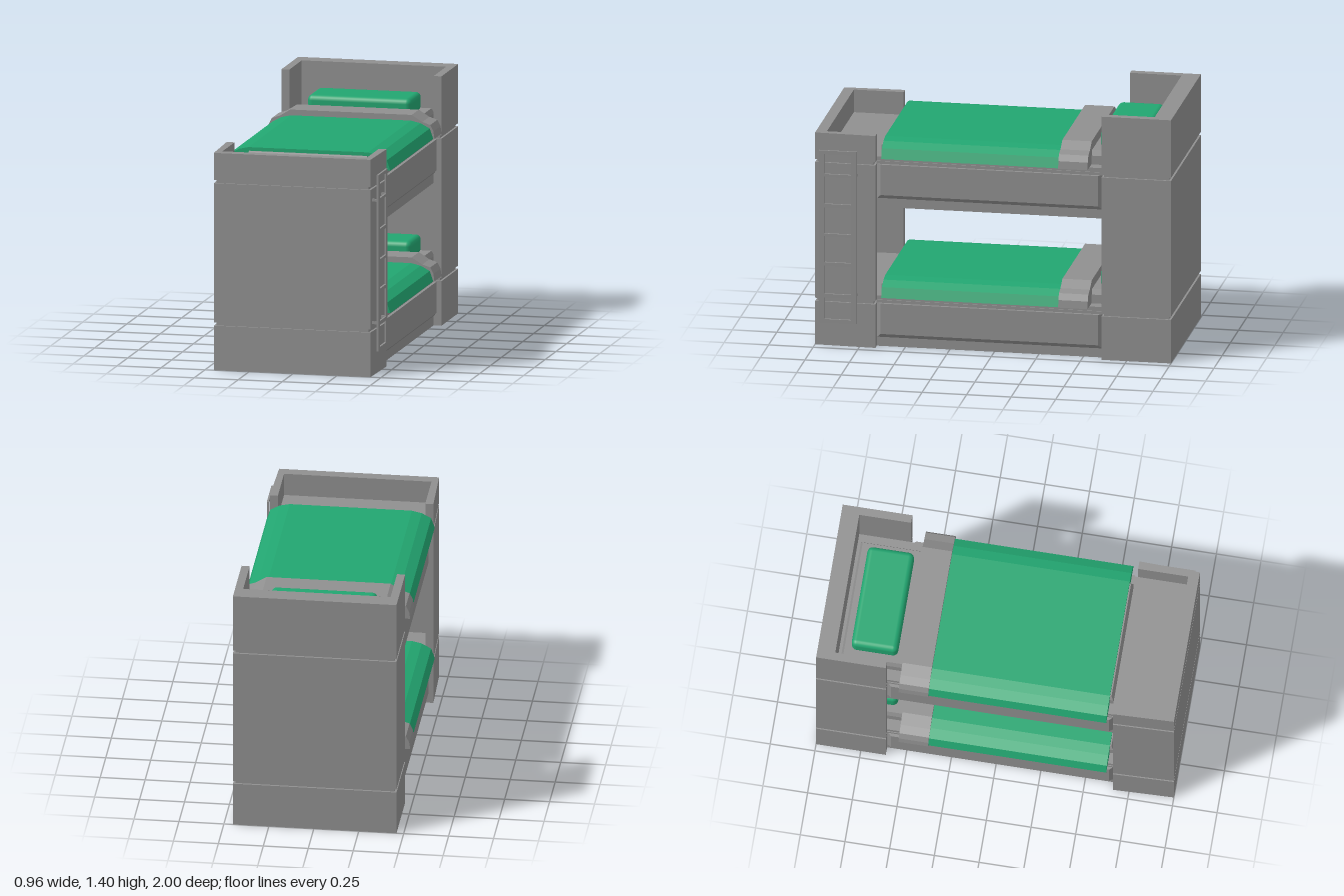
import * as THREE from 'three';
import { RoundedBoxGeometry } from 'three/addons/geometries/RoundedBoxGeometry.js';

const grey = new THREE.MeshStandardMaterial({ color: 0x8f8f8f });
grey.name = 'frame grey';
const green = new THREE.MeshStandardMaterial({ color: 0x22a570 });
green.name = 'bedding green';

const CX = -0.005; // the frame sits slightly off centre to make room for the ladder

function add(parent, name, geometry, material = grey) {
  const mesh = new THREE.Mesh(geometry, material);
  mesh.name = name;
  parent.add(mesh);
  return mesh;
}

// Box given by its lower and upper corners
function box(x0, x1, y0, y1, z0, z1) {
  return new THREE.BoxGeometry(x1 - x0, y1 - y0, z1 - z0)
    .translate((x0 + x1) / 2, (y0 + y1) / 2, (z0 + z1) / 2);
}

// Upright prism over a floor plan of [x, z] points
function prism(plan, y0, y1) {
  const shape = new THREE.Shape(plan.map(([x, z]) => new THREE.Vector2(x, -z)));
  return new THREE.ExtrudeGeometry(shape, { depth: y1 - y0, bevelEnabled: false })
    .rotateX(-Math.PI / 2).translate(0, y0, 0);
}

// Symmetric cross-section of [half width, y] points swept along z
function sweep(profile, z0, z1) {
  const right = profile.map(([x, y]) => new THREE.Vector2(CX + x, y));
  const left = profile.map(([x, y]) => new THREE.Vector2(CX - x, y)).reverse();
  const shape = new THREE.Shape([...right, ...left]);
  return new THREE.ExtrudeGeometry(shape, { depth: z1 - z0, bevelEnabled: false })
    .translate(0, 0, z0);
}

// Plan of an end block: w0 is its half width at the bed, w1 at the far end
function blockPlan(zNear, zFar, w0, w1, inset = 0) {
  const s = Math.sign(zFar) * inset;
  return [
    [CX - w0 + inset, zNear + s], [CX + w0 - inset, zNear + s],
    [CX + w1 - inset, zFar - s], [CX - w1 + inset, zFar - s],
  ];
}

// U-shaped plan of the walls around one end
function wallPlan(zNear, zFar, w0, w1) {
  const zIn = zFar - Math.sign(zFar) * (zFar > 0 ? 0.06 : 0.1);
  const t = 0.41;
  return [
    [CX + t, zNear], [CX + w0, zNear], [CX + w1, zFar], [CX - w1, zFar],
    [CX - w0, zNear], [CX - t, zNear], [CX - t, zIn], [CX + t, zIn],
  ];
}

// Proud side panel, bevelled at its ends and lower edge
function sidePanel(side) {
  const g = box(0.408, 0.432, 0.05, 0.25, -0.61, 0.66);
  const p = g.attributes.position;
  for (let i = 0; i < p.count; i++) {
    if (p.getX(i) < 0.42) continue;
    p.setZ(i, p.getZ(i) > 0 ? 0.635 : -0.585);
    if (p.getY(i) < 0.1) p.setY(i, 0.075);
  }
  if (side < 0) g.rotateY(Math.PI).translate(0, 0, 0.05);
  g.translate(CX, 0, 0);
  g.computeVertexNormals();
  return g;
}

function bunk(name, footTop, headTop) {
  const b = new THREE.Group();
  b.name = name;

  // Base and side panels
  add(b, 'bedBase', box(CX - 0.41, CX + 0.41, 0, 0.25, -0.61, 0.66));
  for (const side of [1, -1]) add(b, 'sidePanel', sidePanel(side));
  add(b, 'bedGroove', box(CX - 0.415, CX + 0.415, 0.25, 0.266, -0.61, 0.66));
  add(b, 'bedDeck', box(CX - 0.41, CX + 0.41, 0.266, 0.29, -0.9, 0.94));

  // Foot and head ends: block, groove and surrounding walls
  const ends = [['foot', 0.66, 1, 0.455, 0.445, footTop], ['head', -0.61, -1, 0.455, 0.455, headTop]];
  for (const [end, zn, zf, w0, w1, top] of ends) {
    add(b, end + 'Block', prism(blockPlan(zn, zf, w0, w1), 0, 0.25));
    add(b, end + 'Groove', prism(blockPlan(zn, zf, w0, w1, 0.012), 0.25, 0.268));
    add(b, end + 'Walls', prism(wallPlan(zn, zf, w0, w1), 0.268, top));
  }

  // Mattress with a bevelled upper edge
  const mattress = box(CX - 0.347, CX + 0.347, 0.29, 0.34, -0.88, 0.645);
  add(b, 'mattress', mattress);
  const topping = box(CX - 0.347, CX + 0.347, 0.34, 0.37, -0.88, 0.645);
  const p = topping.attributes.position;
  for (let i = 0; i < p.count; i++) {
    if (p.getY(i) < 0.36) continue;
    p.setX(i, p.getX(i) - Math.sign(p.getX(i)) * 0.012);
    p.setZ(i, p.getZ(i) - Math.sign(p.getZ(i)) * 0.012);
  }
  topping.computeVertexNormals();
  add(b, 'mattressTop', topping);

  // Blanket with its turned-down fold, and pillow
  add(b, 'blanket', sweep([[0.467, 0.293], [0.447, 0.35], [0.395, 0.378], [0.34, 0.39]], -0.37, 0.625), green);
  add(b, 'blanketFold', sweep([[0.474, 0.293], [0.468, 0.335], [0.45, 0.37], [0.405, 0.385], [0.345, 0.422]], -0.535, -0.37));
  const pillow = new RoundedBoxGeometry(0.59, 0.105, 0.26, 3, 0.03);
  add(b, 'pillow', pillow, green).position.set(CX - 0.005, 0.4175, -0.7);
  return b;
}

function ladder() {
  const l = new THREE.Group();
  l.name = 'ladder';
  const x0 = 0.468, x1 = 0.479;
  for (const z of [0.76, 0.94]) add(l, 'ladderRail', box(x0, x1, 0.14, 1.13, z, z + 0.03));
  for (const [y, h] of [[0.14, 0.02], [0.285, 0.02], [0.467, 0.02], [0.637, 0.015], [0.803, 0.02], [0.98, 0.015], [1.11, 0.02]]) {
    add(l, 'rung', box(x0, x1, y, y + h, 0.79, 0.94));
  }
  // Brackets holding the ladder to the foot end
  for (const y of [0.292, 0.98]) {
    for (const z of [0.762, 0.953]) add(l, 'bracket', box(0.43, x0, y, y + 0.014, z, z + 0.014));
  }
  return l;
}

export function createModel() {
  const model = new THREE.Group();
  model.name = 'bunkBed';
  model.add(bunk('lowerBunk', 0.8, 0.8));
  const upper = bunk('upperBunk', 0.42, 0.6);
  upper.position.y = 0.8;
  model.add(upper, ladder());
  return model;
}
